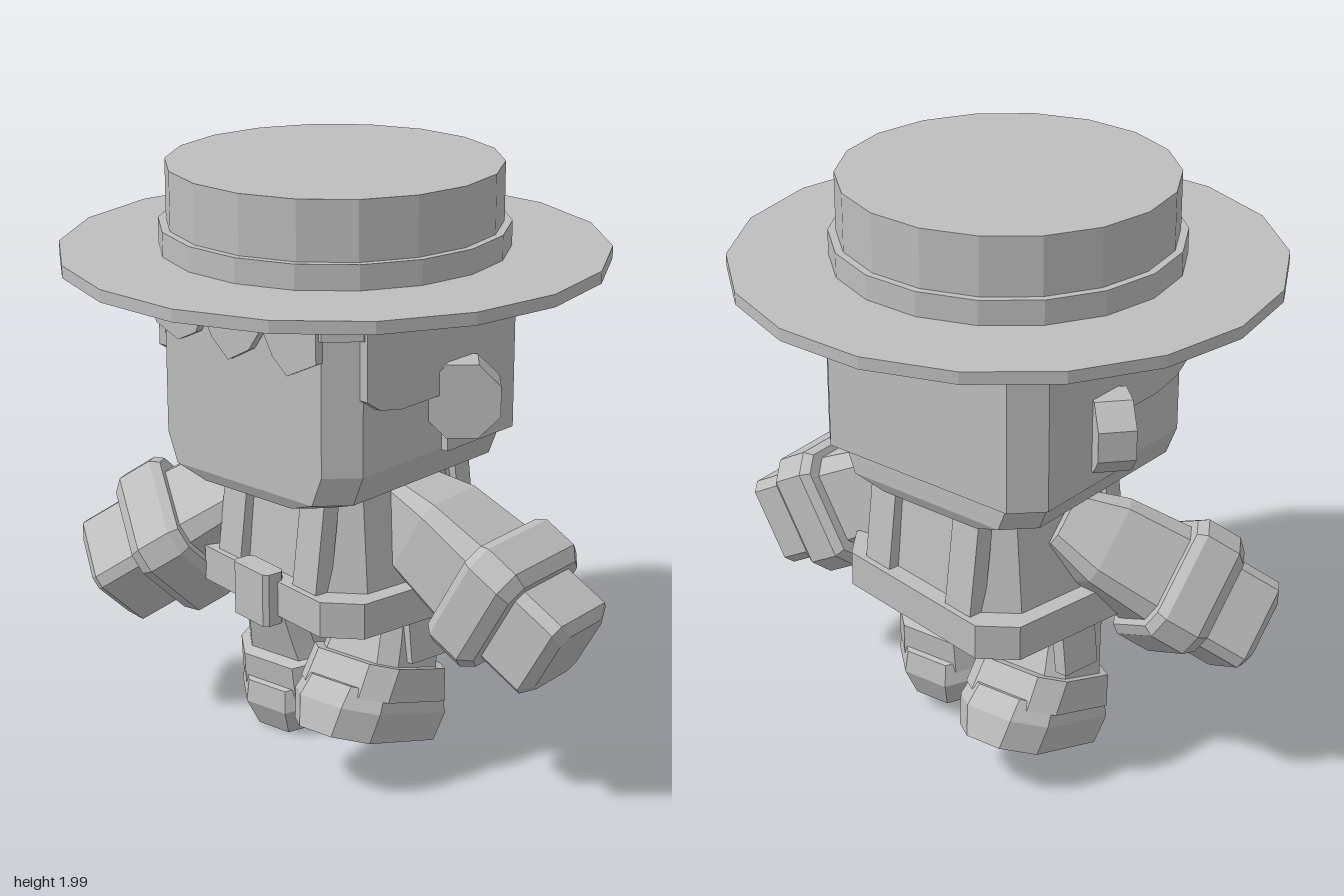
import * as THREE from 'three';

const gray = new THREE.MeshStandardMaterial({ color: 0xbebebe, flatShading: true });
gray.name = 'lightGray';

// Chamfered-box loft: each ring is [y, halfX, halfZ, cornerCut]
function loftGeometry(rings) {
  const pos = [], idx = [];
  for (const [y, hx, hz, c] of rings) {
    const plan = [[hx, -hz + c], [hx, hz - c], [hx - c, hz], [-hx + c, hz],
      [-hx, hz - c], [-hx, -hz + c], [-hx + c, -hz], [hx - c, -hz]];
    for (const [x, z] of plan) pos.push(x, y, z);
  }
  const n = 8, last = (rings.length - 1) * n;
  for (let r = 0; r < last; r += n) {
    for (let i = 0; i < n; i++) {
      const j = (i + 1) % n;
      idx.push(r + i, r + n + i, r + n + j, r + i, r + n + j, r + j);
    }
  }
  for (let i = 1; i < n - 1; i++) {
    idx.push(0, i, i + 1, last, last + i + 1, last + i);
  }
  const g = new THREE.BufferGeometry();
  g.setAttribute('position', new THREE.Float32BufferAttribute(pos, 3));
  g.setIndex(idx);
  const flat = g.toNonIndexed();
  flat.computeVertexNormals();
  return flat;
}

function add(parent, name, geometry, x = 0, y = 0, z = 0) {
  const m = new THREE.Mesh(geometry, gray);
  m.name = name;
  m.position.set(x, y, z);
  parent.add(m);
  return m;
}

const loft = (parent, name, rings, x, y, z) => add(parent, name, loftGeometry(rings), x, y, z);
const box = (parent, name, w, h, d, x, y, z) => add(parent, name, new THREE.BoxGeometry(w, h, d), x, y, z);

function group(parent, name, x, y, z) {
  const g = new THREE.Group();
  g.name = name;
  g.position.set(x, y, z);
  parent.add(g);
  return g;
}

// Extruded outline in the xy plane
function plate(points, depth) {
  const shape = new THREE.Shape(points.map(([x, y]) => new THREE.Vector2(x, y)));
  return new THREE.ExtrudeGeometry(shape, { depth, bevelEnabled: false });
}

function buildHat(root) {
  const hat = group(root, 'hat', -0.042, 0, 0);
  hat.rotation.y = 0.115;
  const disc = (name, r, y0, y1) =>
    add(hat, name, new THREE.CylinderGeometry(r, r, y1 - y0, 18), 0, (y0 + y1) / 2, 0);
  disc('brim', 0.878, 1.69, 1.73);
  disc('hatBand', 0.56, 1.73, 1.81);
  disc('crown', 0.535, 1.81, 2.0);
}

function buildHead(root) {
  const head = group(root, 'head', -0.05, 0, 0);
  head.rotation.y = -0.06;
  loft(head, 'face', [[0.99, 0.27, 0.40, 0.08], [1.03, 0.385, 0.42, 0.09],
    [1.13, 0.425, 0.42, 0.09], [1.7, 0.425, 0.42, 0.09]]);

  // Hair: cap, fringe, sides and back
  loft(head, 'hairCap', [[1.57, 0.44, 0.435, 0.09], [1.7, 0.44, 0.435, 0.09]]);
  const fringe = [[-0.35, 1.7], [-0.35, 1.5], [-0.25, 1.46], [-0.17, 1.5], [-0.14, 1.57], [-0.1, 1.5],
    [-0.03, 1.44], [0.06, 1.49], [0.115, 1.57], [0.16, 1.49], [0.22, 1.44], [0.34, 1.5], [0.34, 1.7]];
  add(head, 'fringe', plate(fringe, 0.03), 0, 0, 0.418);
  const side = [[-0.34, 1.7], [-0.34, 1.38], [-0.28, 1.34], [-0.18, 1.32], [0.04, 1.32],
    [0.04, 1.125], [0.36, 1.125], [0.36, 1.7]];
  for (const s of [-1, 1]) {
    const p = add(head, 'sideHair', plate(side, 0.03), s > 0 ? 0.42 : -0.45, 0, 0);
    p.rotation.y = Math.PI / 2;
  }
  const back = new THREE.Shape([[-0.45, 0.34], [0.45, 0.34], [0.45, 0.37], [0.36, 0.46], [-0.36, 0.46],
    [-0.45, 0.37]].map(([x, y]) => new THREE.Vector2(x, y)));
  const backHair = add(head, 'backHair',
    new THREE.ExtrudeGeometry(back, { depth: 0.575, bevelEnabled: false }), 0, 1.125, 0);
  backHair.rotation.x = -Math.PI / 2;

  // Octagonal ears angled towards the front
  for (const s of [-1, 1]) {
    const holder = group(head, 'ear', s * 0.465, 1.3, -0.09);
    holder.rotation.y = s * 0.72;
    const ear = add(holder, 'earDisc', new THREE.CylinderGeometry(0.13, 0.13, 0.12, 8));
    ear.rotation.set(Math.PI / 2, Math.PI / 8, 0);
  }
}

function buildTorso(root) {
  const torso = group(root, 'torso', -0.03, 0, -0.05);
  torso.rotation.y = -0.22;
  loft(torso, 'body', [[0.58, 0.37, 0.31, 0.1], [1.0, 0.29, 0.27, 0.1]]);
  loft(torso, 'belt', [[0.56, 0.41, 0.36, 0.1], [0.68, 0.41, 0.36, 0.1]]);
  loft(torso, 'buckle', [[0.53, 0.09, 0.04, 0.015], [0.71, 0.09, 0.04, 0.015]], 0, 0, 0.37);
  // Vest panels, front and back
  for (const s of [-1, 1]) {
    for (const f of [-1, 1]) {
      const p = box(torso, 'vestPanel', 0.12, 0.34, 0.06, s * 0.2, 0.83, f * 0.29);
      p.rotation.x = -f * 0.12;
    }
    // Flaps hanging from the belt
    const flap = box(torso, 'beltFlap', 0.05, 0.24, 0.14, s * 0.38, 0.54, 0);
    flap.rotation.z = s * 0.12;
  }
}

// Arm built along local +y, pointed along a direction
function buildArm(root, name, shoulder, dir) {
  const arm = group(root, name, ...shoulder);
  arm.quaternion.setFromUnitVectors(new THREE.Vector3(0, 1, 0), new THREE.Vector3(...dir).normalize());
  loft(arm, 'sleeve', [[-0.08, 0.1, 0.11, 0.03], [0.08, 0.15, 0.15, 0.04], [0.33, 0.17, 0.17, 0.05]]);
  loft(arm, 'cuff', [[0.3, 0.19, 0.2, 0.05], [0.33, 0.21, 0.22, 0.06],
    [0.45, 0.21, 0.22, 0.06], [0.49, 0.18, 0.19, 0.05]]);
  loft(arm, 'mitt', [[0.46, 0.155, 0.15, 0.03], [0.65, 0.155, 0.15, 0.03], [0.68, 0.12, 0.115, 0.03]]);
}

// Leg group origin is the middle of the sole
function buildLeg(root, name, x, y, z, pitch) {
  const leg = group(root, name, x, y, z);
  leg.rotation.x = pitch;
  loft(leg, 'shoe', [[0, 0.155, 0.27, 0.09], [0.1, 0.175, 0.275, 0.09], [0.17, 0.16, 0.24, 0.08]]);
  loft(leg, 'bootCuff', [[0.14, 0.18, 0.23, 0.07], [0.25, 0.175, 0.2, 0.07]]);
  loft(leg, 'shin', [[0.24, 0.155, 0.16, 0.05], [0.33, 0.14, 0.15, 0.05], [0.5, 0.11, 0.13, 0.04]]);
}

export function createModel() {
  const root = new THREE.Group();
  root.name = 'figure';
  buildHat(root);
  buildHead(root);
  buildTorso(root);
  buildArm(root, 'leftArm', [0.27, 0.88, -0.04], [0.87, -0.49, 0]);
  buildArm(root, 'rightArm', [-0.34, 0.86, -0.03], [-0.68, -0.53, 0.47]);
  buildLeg(root, 'leftLeg', 0.19, 0.15, 0.135, -0.33);
  buildLeg(root, 'rightLeg', -0.24, 0.107, -0.16, 0.38);
  return root;
}
